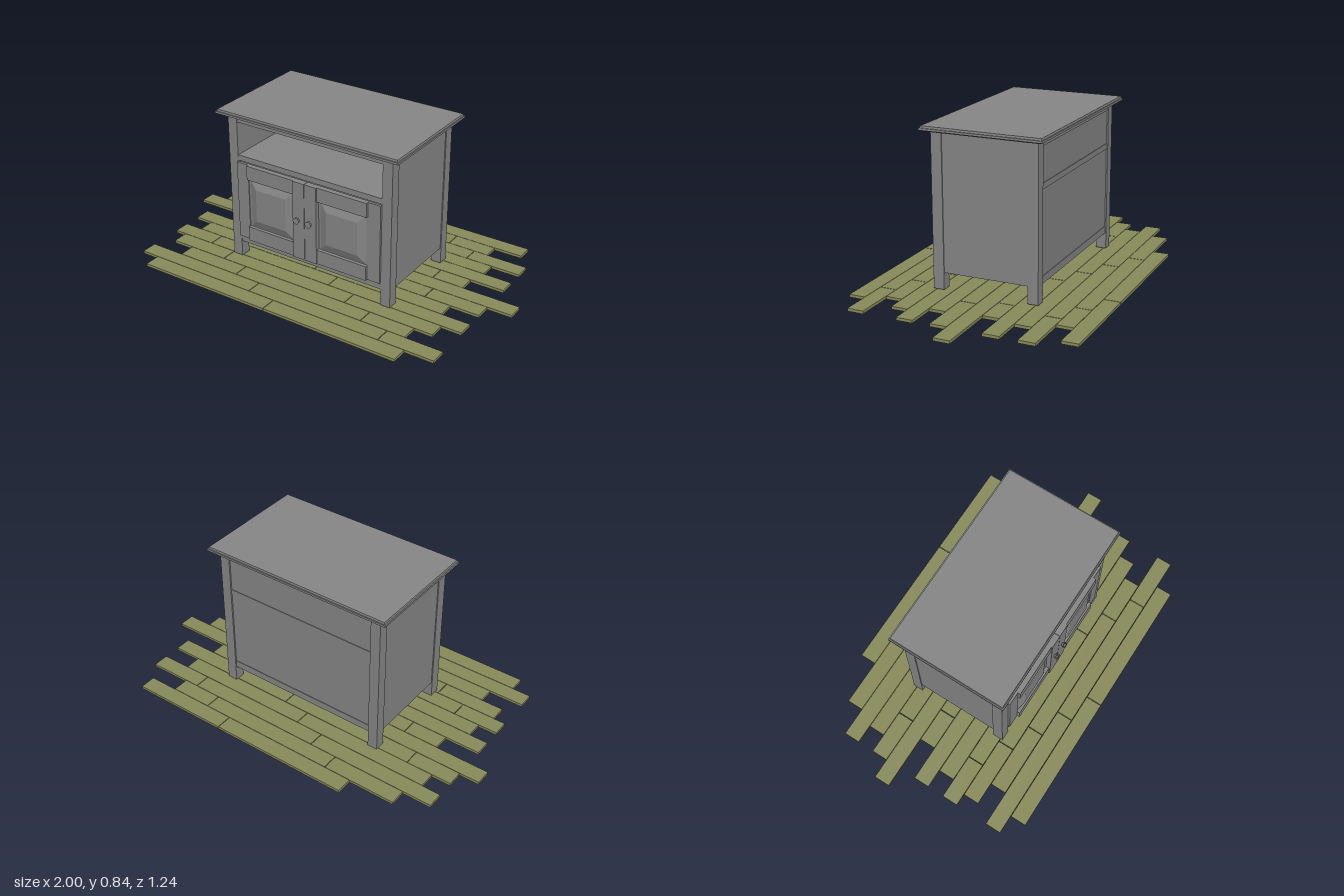
import * as THREE from 'three';

const grey = new THREE.MeshStandardMaterial({ color: 0x868686 });
const wood = new THREE.MeshStandardMaterial({ color: 0x888b5a });

// Box given by its min and max corners
function block(parent, name, [x0, y0, z0], [x1, y1, z1], material = grey) {
  const mesh = new THREE.Mesh(new THREE.BoxGeometry(x1 - x0, y1 - y0, z1 - z0), material);
  mesh.position.set((x0 + x1) / 2, (y0 + y1) / 2, (z0 + z1) / 2);
  mesh.name = name;
  parent.add(mesh);
}

// Slab along y that tapers from one rectangle to another
function taper(w0, d0, w1, d1, h) {
  const geo = new THREE.BoxGeometry(1, h, 1);
  const p = geo.attributes.position;
  for (let i = 0; i < p.count; i++) {
    const top = p.getY(i) > 0;
    p.setX(i, p.getX(i) * (top ? w1 : w0));
    p.setZ(i, p.getZ(i) * (top ? d1 : d0));
  }
  geo.computeVertexNormals();
  return geo;
}

// Floor boards: each row lists its left end, joints and right end
function makeFloor() {
  const floor = new THREE.Group();
  floor.name = 'floor';
  const rows = [
    [-0.492, 0.264, 0.796],
    [-0.74, -0.343, 0.414, 0.641],
    [-0.894, -0.191, 0.566, 0.867],
    [-0.792, -0.037, 0.712],
    [-0.894, -0.647, 0.109, 0.867],
    [-1, -0.245, 0.512, 0.684],
    [-0.706, -0.515, 0.242, 1],
    [-0.894, -0.191, 0.566, 0.867],
    [-0.792, -0.037, 0.712],
    [-0.894, -0.647, 0.109, 0.867],
    [-0.828, -0.492, 0.264, 0.76],
    [-0.706, -0.343, 0.414, 0.661],
    [-0.894, -0.191, 0.566, 0.867],
    [-0.792, -0.037, 0.712],
  ];
  const pitch = 0.0884, width = 0.086, gap = 0.0018;
  rows.forEach((ends, r) => {
    const z = -0.6176 + r * pitch;
    for (let i = 0; i < ends.length - 1; i++) {
      const a = ends[i] + (i > 0 ? gap : 0);
      const b = ends[i + 1] - (i < ends.length - 2 ? gap : 0);
      block(floor, 'floorBoard', [a, 0, z], [b, 0.015, z + width], wood);
    }
  });
  return floor;
}

// Door with stiles, rails, raised panel and knob; side is +1 or -1
function makeDoor(side) {
  const door = new THREE.Group();
  door.name = side > 0 ? 'leftDoor' : 'rightDoor';
  const y0 = 0.146, y1 = 0.572, zb = 0.276;
  const span = (name, a, b, ya, yb, zf) =>
    block(door, name, [Math.min(a * side, b * side), ya, zb], [Math.max(a * side, b * side), yb, zf]);
  span('innerStile', 0.001, 0.07, y0, y1, 0.31);
  span('outerStile', 0.355, 0.425, y0, y1, 0.29);
  span('topRail', 0.07, 0.355, 0.495, y1, 0.304);
  span('bottomRail', 0.07, 0.355, y0, 0.225, 0.304);
  span('panelBack', 0.07, 0.355, 0.225, 0.495, 0.286);

  const panel = new THREE.Mesh(taper(0.262, 0.262, 0.18, 0.18, 0.016), grey);
  panel.rotation.x = Math.PI / 2;
  panel.position.set(0.2125 * side, 0.36, 0.294);
  panel.name = 'raisedPanel';
  door.add(panel);

  // Knob of two stacked cones
  const profile = [[0.005, 0], [0.016, 0.012], [0.006, 0.012], [0.018, 0.024], [0, 0.024]]
    .map(([r, h]) => new THREE.Vector2(r, h));
  const knobGeo = new THREE.LatheGeometry(profile, 16).toNonIndexed();
  knobGeo.computeVertexNormals();
  const knob = new THREE.Mesh(knobGeo, grey);
  knob.rotation.x = Math.PI / 2;
  knob.position.set(0.036 * side, 0.37, 0.309);
  knob.name = 'knob';
  door.add(knob);
  return door;
}

function makeCabinet() {
  const cabinet = new THREE.Group();
  cabinet.name = 'cabinet';
  const inX = 0.425, outX = 0.479, top = 0.816;

  for (const s of [-1, 1]) {
    const xs = [inX * s, outX * s].sort((a, b) => a - b);
    // Legs run the full height
    block(cabinet, 'frontLeg', [xs[0], 0.02, 0.221], [xs[1], top, 0.278]);
    block(cabinet, 'backLeg', [xs[0], 0.02, -0.282], [xs[1], top, -0.227]);
    // Side panels: inside flush with the legs, outside slightly recessed
    const ps = [inX * s, (outX - 0.005) * s].sort((a, b) => a - b);
    block(cabinet, 'sidePanel', [ps[0], 0.107, -0.227], [ps[1], top, 0.221]);
    cabinet.add(makeDoor(s));
  }

  // Rails across front and back
  block(cabinet, 'frontTopRail', [-inX, 0.783, 0.252], [inX, top, 0.274]);
  block(cabinet, 'frontBottomRail', [-inX, 0.107, 0.25], [inX, 0.146, 0.276]);
  block(cabinet, 'backTopRail', [-inX, 0.783, -0.277], [inX, top, -0.255]);
  block(cabinet, 'backBottomRail', [-inX, 0.107, -0.277], [inX, 0.146, -0.255]);
  block(cabinet, 'backPanel', [-inX, 0.146, -0.274], [inX, 0.783, -0.258]);

  // Open shelf above the doors and the floor of the cupboard
  block(cabinet, 'shelf', [-inX, 0.575, -0.277], [inX, 0.605, 0.276]);
  block(cabinet, 'bottomBoard', [-inX, 0.112, -0.256], [inX, 0.14, 0.251]);

  // Table top with moulded edge
  const layers = [
    [1.025, 0.61, 1.04, 0.622, 0.816, 0.823],
    [1.056, 0.638, 1.056, 0.638, 0.823, 0.834],
    [1.044, 0.626, 1.04, 0.622, 0.834, 0.844],
  ];
  for (const [w0, d0, w1, d1, a, b] of layers) {
    const slab = new THREE.Mesh(taper(w0, d0, w1, d1, b - a), grey);
    slab.position.set(0, (a + b) / 2, -0.003);
    slab.name = 'tableTop';
    cabinet.add(slab);
  }
  return cabinet;
}

export function createModel() {
  const model = new THREE.Group();
  model.name = 'cabinetOnFloor';
  model.add(makeFloor(), makeCabinet());
  return model;
}
